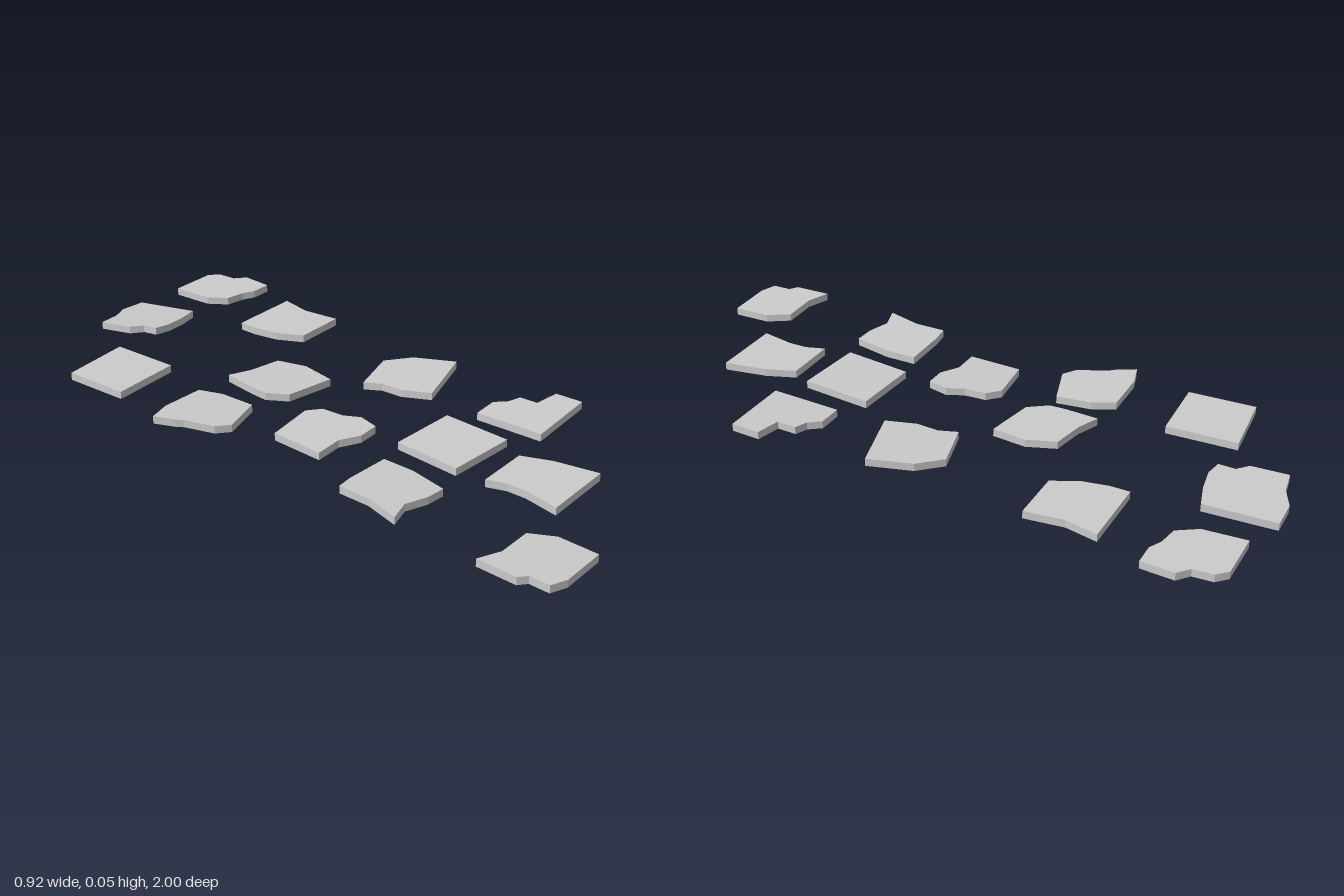
import * as THREE from 'three';

const THICKNESS = 0.024;
const material = new THREE.MeshStandardMaterial({ color: 0xcccccc, flatShading: true, side: THREE.DoubleSide });

// One slab, open underneath: outline as x, z pairs in hundredths (clockwise from above),
// height of its underside at the middle, and its slope along x and z.
function slab(name, outline, base = 0.018, slopeX = 0, slopeZ = 0) {
  const pts = [];
  for (let i = 0; i < outline.length; i += 2) pts.push(new THREE.Vector2(outline[i] / 100, outline[i + 1] / 100));
  const mid = new THREE.Box2().setFromPoints(pts).getCenter(new THREE.Vector2());
  const at = (p, lift) => [p.x, base + lift + (p.x - mid.x) * slopeX + (p.y - mid.y) * slopeZ, p.y];
  const pos = [];

  // top face
  for (const [a, b, c] of THREE.ShapeUtils.triangulateShape(pts, [])) {
    const p = pts[a], q = pts[b], r = pts[c];
    const up = (q.y - p.y) * (r.x - p.x) - (q.x - p.x) * (r.y - p.y) > 0;
    for (const v of up ? [p, q, r] : [p, r, q]) pos.push(...at(v, THICKNESS));
  }
  // side walls
  pts.forEach((a, i) => {
    const b = pts[(i + 1) % pts.length];
    const aTop = at(a, THICKNESS), bTop = at(b, THICKNESS), aLow = at(a, 0), bLow = at(b, 0);
    pos.push(...aTop, ...bTop, ...bLow, ...aTop, ...bLow, ...aLow);
  });

  const geometry = new THREE.BufferGeometry();
  geometry.setAttribute('position', new THREE.Float32BufferAttribute(pos, 3));
  geometry.computeVertexNormals();
  const mesh = new THREE.Mesh(geometry, material);
  mesh.name = name;
  return mesh;
}

export function createModel() {
  const group = new THREE.Group();
  group.name = 'steppingStones';
  group.add(
    // back rows
    slab('backMiddleStone', [-11, -96, -4, -97, 2, -100, 10.5, -100, 14, -79, 7, -77, 0, -76, -5, -77, -5.5, -82, -9, -85], 0.017, -0.06, 0.09),
    slab('backLeftStone', [24, -96, 39, -96, 42, -93, 42.5, -87, 46, -84, 45.5, -74, 39, -74, 35, -76, 29, -77, 25, -83]),
    slab('backRightStone', [-42, -76, -20, -78, -19, -56, -41, -55]),
    slab('rearLeftStone', [17.5, -60, 40, -60, 38, -50, 39.5, -38, 23, -38, 19, -46, 17.5, -54]),
    // middle rows
    slab('rearRightStone', [-46, -36, -39, -38, -25, -38, -22, -31, -21, -20, -34, -16, -38, -19, -41.5, -28, -43, -30], 0.016, -0.03, -0.03),
    slab('rearMiddleStone', [-13, -37, -6, -34, 4, -32, 7, -23, 5.5, -12, -10, -15, -14, -21, -14, -26], 0.019, 0, -0.03),
    slab('middleRightStone', [-30, -3, -15, -4.5, -11, -1, -10.5, 6, -8, 11, -9.5, 17.5, -16, 17.5, -22, 14, -30.5, 14], 0.018, 0.03, 0),
    slab('middleLeftStone', [11, -3.5, 26, -7.5, 33, -1, 38, 12, 17, 18, 13.5, 9, 13.5, 2], 0.018, 0.03, 0.04),
    // front rows
    slab('frontRightStone', [-41, 30, -36, 29.5, -21.5, 30, -21.5, 40, -24, 52, -30, 51.5, -37, 49, -44, 51, -41, 40], 0.017, -0.03, 0),
    slab('frontMiddleStone', [-12, 27.5, 9.5, 29, 8, 51, -14, 49], 0.018, 0, 0.02),
    slab('frontLeftStone', [17, 34.5, 25, 34.5, 28, 38, 32, 39.5, 32, 45.5, 40, 47, 40, 56, 17, 56.5], 0.018, 0.03, 0.03),
    slab('foremostMiddleStone', [-13, 58, 3.5, 58, 7, 67, 9.5, 80.5, -13, 80.5, -11, 70, -11, 64], 0.015),
    slab('foremostRightStone', [-46, 78, -39, 81, -28, 81, -24, 88, -24, 100, -38.5, 100, -43.5, 98, -43.5, 92, -46, 90], 0.015, -0.02, -0.02),
  );
  return group;
}
